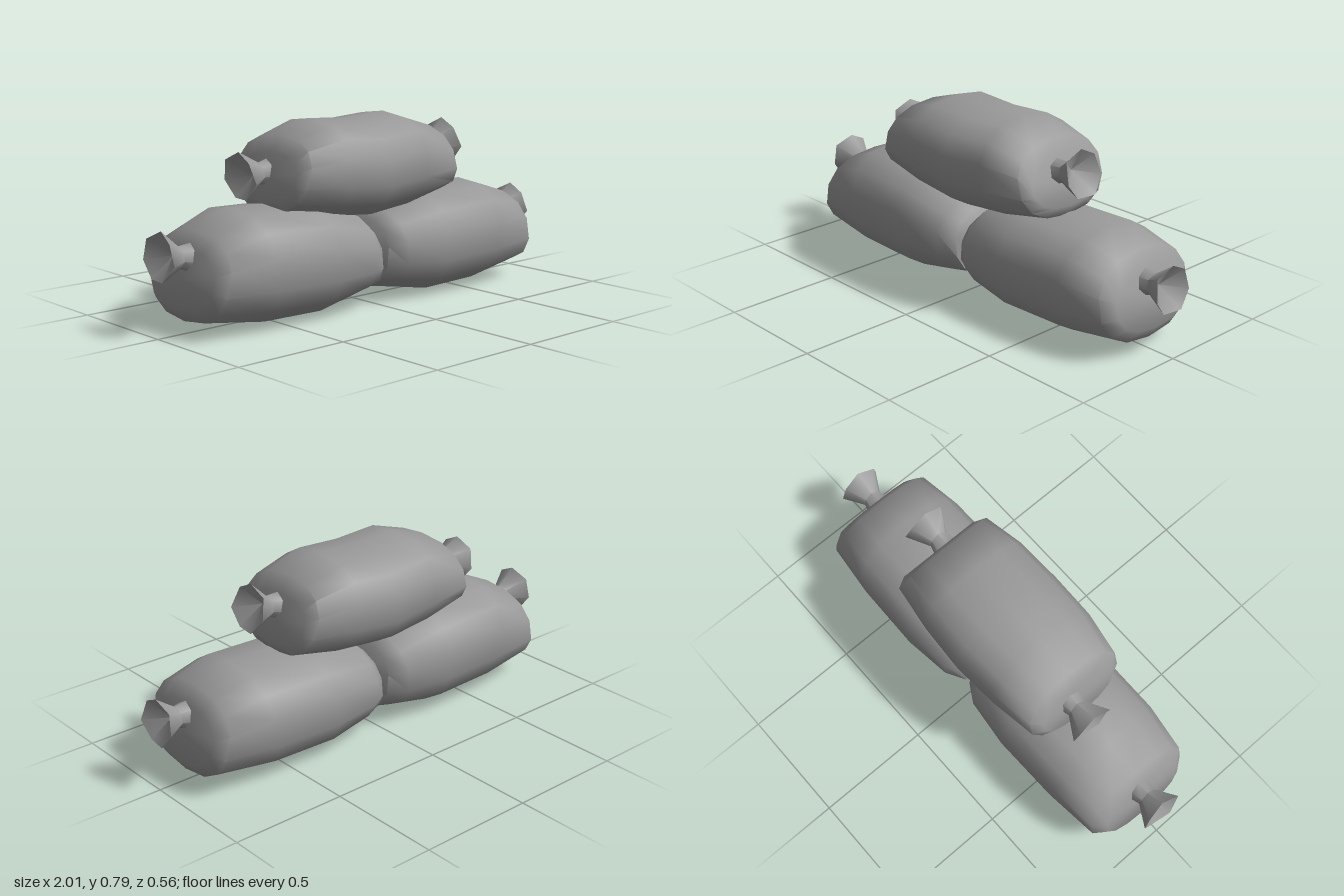
import * as THREE from 'three';
import { toCreasedNormals } from 'three/addons/utils/BufferGeometryUtils.js';

// Ring standing across x; its top and bottom may lean apart
const ring = (xTop, yTop, xBottom, yBottom, depth, z = 0) => ({ xTop, yTop, xBottom, yBottom, depth, z });

// Reverses the order too, so that rings always run towards +x
const mirror = (rings) => rings.map((r) => ({ ...r, xTop: -r.xTop, xBottom: -r.xBottom })).reverse();

// Single point in the middle of a ring, closing an end
function tip(r, shift = 0) {
  const x = (r.xTop + r.xBottom) / 2 + shift, y = (r.yTop + r.yBottom) / 2;
  return ring(x, y, x, y, 0, r.z);
}

// Skins a row of rings with superellipse outlines
function loft(rings, sides, power, wobble = 0) {
  const positions = [], index = [];
  const curve = (v) => Math.sign(v) * Math.abs(v) ** (2 / power);
  for (const r of rings) {
    for (let j = 0; j < sides; j++) {
      const angle = Math.PI / 2 + (j / sides) * Math.PI * 2;
      const t = (curve(Math.sin(angle)) + 1) / 2;
      const fold = wobble * r.depth * Math.sin(j * 2.6 + 1);
      positions.push(
        THREE.MathUtils.lerp(r.xBottom, r.xTop, t) + fold,
        THREE.MathUtils.lerp(r.yBottom, r.yTop, t),
        r.z + r.depth * curve(Math.cos(angle)),
      );
    }
  }
  for (let i = 0; i < rings.length - 1; i++) {
    for (let j = 0; j < sides; j++) {
      const a = i * sides + j, c = i * sides + ((j + 1) % sides);
      index.push(a, a + sides, c, a + sides, c + sides, c);
    }
  }
  const geometry = new THREE.BufferGeometry();
  geometry.setAttribute('position', new THREE.Float32BufferAttribute(positions, 3));
  geometry.setIndex(index);
  return toCreasedNormals(geometry, 1);
}

// Stuffed bag, closed at both ends
function bagGeometry(rings) {
  return loft([tip(rings[0]), ...rings, tip(rings.at(-1))], 14, 2.35);
}

// Tied end: base, pinched neck, flared mouth and hollow inside
function tieGeometry(baseX, baseY, mouthX, mouthY, lean, z) {
  const upright = (x, y, r, tilt = 0) => ring(x - tilt, y + r, x + tilt, y - r, r, z);
  const neckX = THREE.MathUtils.lerp(baseX, mouthX, 0.4);
  const neckY = THREE.MathUtils.lerp(baseY, mouthY, 0.4);
  const outward = Math.sign(mouthX - baseX);
  const mouth = upright(mouthX, mouthY, 0.1, lean);
  const rings = [upright(baseX, baseY, 0.06), upright(neckX, neckY, 0.045), mouth, tip(mouth, -0.07 * outward)];
  return loft(outward > 0 ? rings : rings.reverse(), 7, 2, 0.08);
}

export function createModel() {
  const cloth = new THREE.MeshStandardMaterial({ color: 0x999999 });
  cloth.name = 'grey cloth';
  const model = new THREE.Group();
  model.name = 'sackPile';

  function addSack(name, bagRings, ties) {
    const sack = new THREE.Group();
    sack.name = name;
    const bag = new THREE.Mesh(bagGeometry(bagRings), cloth);
    bag.name = 'sackBody';
    sack.add(bag);
    for (const tie of ties) {
      const mesh = new THREE.Mesh(tieGeometry(...tie), cloth);
      mesh.name = 'tiedEnd';
      sack.add(mesh);
    }
    model.add(sack);
  }

  // Lower sacks: a flat inner end at the middle, a sloping tied end outside
  const lowerBag = (peak) => [
    ring(0.03, 0.36, 0, 0.06, 0.21),
    ring(0.08, 0.4, 0.1, 0.045, 0.26),
    ring(0.32, peak - 0.01, 0.3, 0.005, 0.285),
    ring(0.65, peak, 0.59, 0.01, 0.28),
    ring(0.81, 0.405, 0.875, 0.055, 0.255),
    ring(0.853, 0.34, 0.913, 0.11, 0.2),
  ];
  addSack('lowerLeftSack', lowerBag(0.455), [[0.84, 0.285, 0.99, 0.295, 0.008, 0.01]]);
  addSack('lowerRightSack', mirror(lowerBag(0.475)), [[-0.84, 0.3, -0.99, 0.322, -0.008, 0]]);

  // Upper sack: both ends alike and tied
  const upperHalf = [
    ring(0.2, 0.793, 0.22, 0.39, 0.265),
    ring(0.365, 0.74, 0.45, 0.437, 0.235),
    ring(0.405, 0.67, 0.468, 0.48, 0.185),
  ];
  const upperBag = [...mirror(upperHalf), ring(0, 0.78, 0, 0.37, 0.275), ...upperHalf]
    .map((r) => ({ ...r, xTop: r.xTop - 0.025, xBottom: r.xBottom - 0.02 }));
  addSack('upperSack', upperBag, [
    [0.37, 0.61, 0.528, 0.64, 0.022, 0.02],
    [-0.42, 0.59, -0.575, 0.583, 0.01, -0.03],
  ]);
  return model;
}
